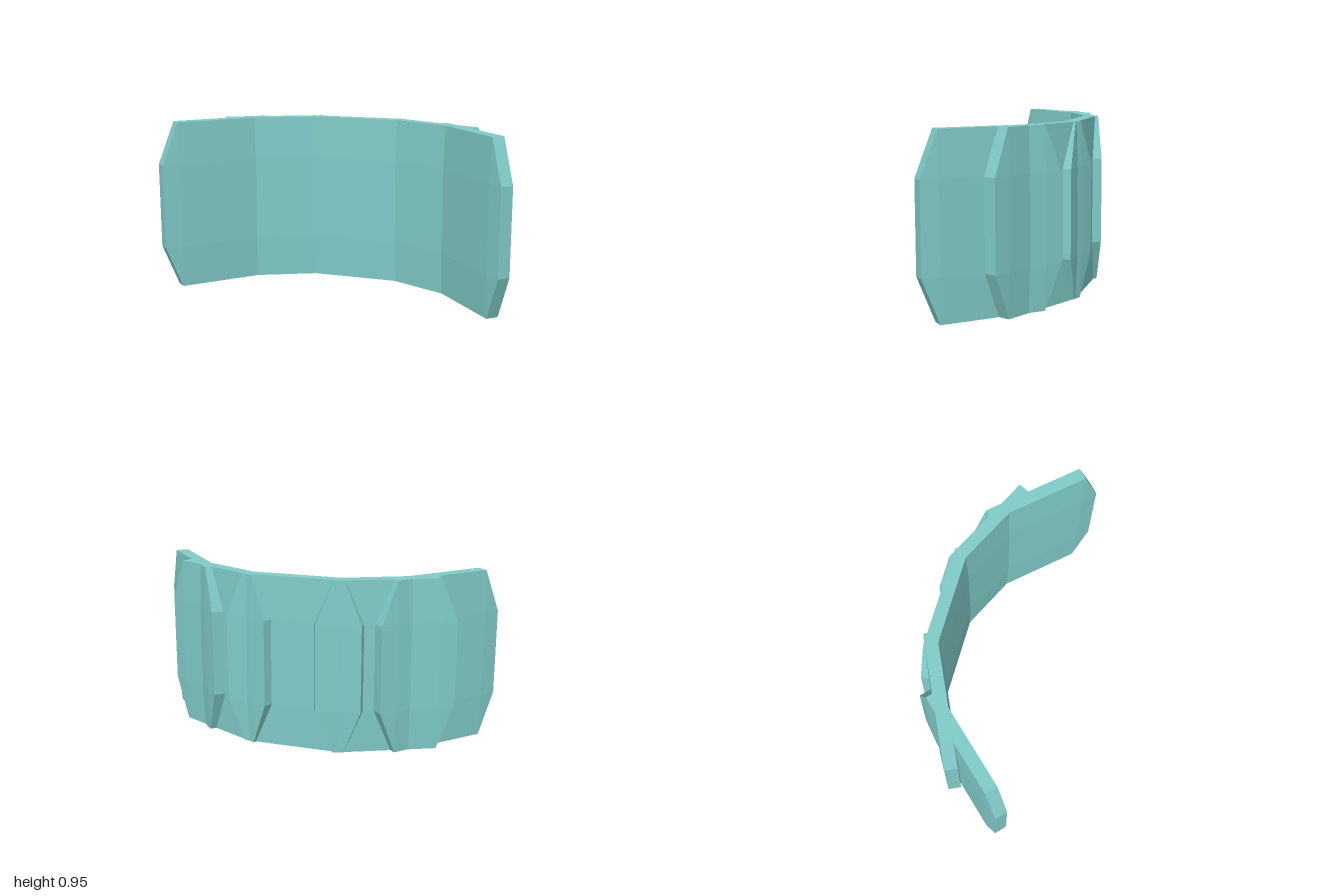
import * as THREE from 'three';

const HALF_LENGTH = 0.382;  // plate half length at mid height
const HALF_TOP = 0.287;     // plate half length at the top and bottom edges
const HEIGHT = 0.955;
const CHAMFER = 0.238;      // height of the cut corners
const RIM = 0.035;          // half thickness at the rim
const CROWN = 0.044;        // half thickness of the raised centre

// Eight-sided plate with slightly pillowed front and back faces
function plateGeometry() {
  const lo = CHAMFER, hi = HEIGHT - CHAMFER;
  const L = HALF_LENGTH, T = HALF_TOP;
  const rim = [[L, hi], [T, HEIGHT], [-T, HEIGHT], [-L, hi], [-L, lo], [-T, 0], [T, 0], [L, lo]];
  const crown = [[T, hi], [-T, hi], [-T, lo], [T, lo]];
  const positions = [];
  const tri = (a, b, c) => positions.push(...a, ...b, ...c);
  const quad = (a, b, c, d) => { tri(a, b, c); tri(a, c, d); };

  for (const side of [1, -1]) {
    const o = (i) => [...rim[i % 8], side * RIM];
    const n = (i) => [...crown[i % 4], side * CROWN];
    const face = (...p) => {
      if (side < 0) p.reverse();
      if (p.length === 3) tri(...p); else quad(...p);
    };
    face(n(0), n(1), n(2), n(3));
    for (let c = 0; c < 4; c++) {
      face(n(c), o(2 * c), o(2 * c + 1));                       // corner
      face(n(c), o(2 * c + 1), o(2 * c + 2), n(c + 1));         // edge
    }
  }
  // Rim wall
  for (let i = 0; i < 8; i++) {
    const a = rim[i], b = rim[(i + 1) % 8];
    quad([...a, RIM], [...a, -RIM], [...b, -RIM], [...b, RIM]);
  }
  const geometry = new THREE.BufferGeometry();
  geometry.setAttribute('position', new THREE.Float32BufferAttribute(positions, 3));
  geometry.computeVertexNormals();
  return geometry;
}

export function createModel() {
  const group = new THREE.Group();
  group.name = 'curvedShield';
  const teal = new THREE.MeshStandardMaterial({ color: 0x80cbc8, flatShading: true });
  teal.name = 'pale teal';
  const geometry = plateGeometry();

  const addPlate = (name, x, z, degrees) => {
    const plate = new THREE.Mesh(geometry, teal);
    plate.name = name;
    plate.position.set(x, 0, z);
    plate.rotation.y = -THREE.MathUtils.degToRad(degrees);
    group.add(plate);
  };

  // Overlapping plates set around an arc
  addPlate('centrePlate', 0, -0.253, 0);
  for (const [side, s] of [['left', 1], ['right', -1]]) {
    addPlate(side + 'InnerPlate', s * 0.475, -0.15, s * 25.3);
    addPlate(side + 'OuterPlate', s * 0.716, 0.043, s * 47.5);
  }
  return group;
}
